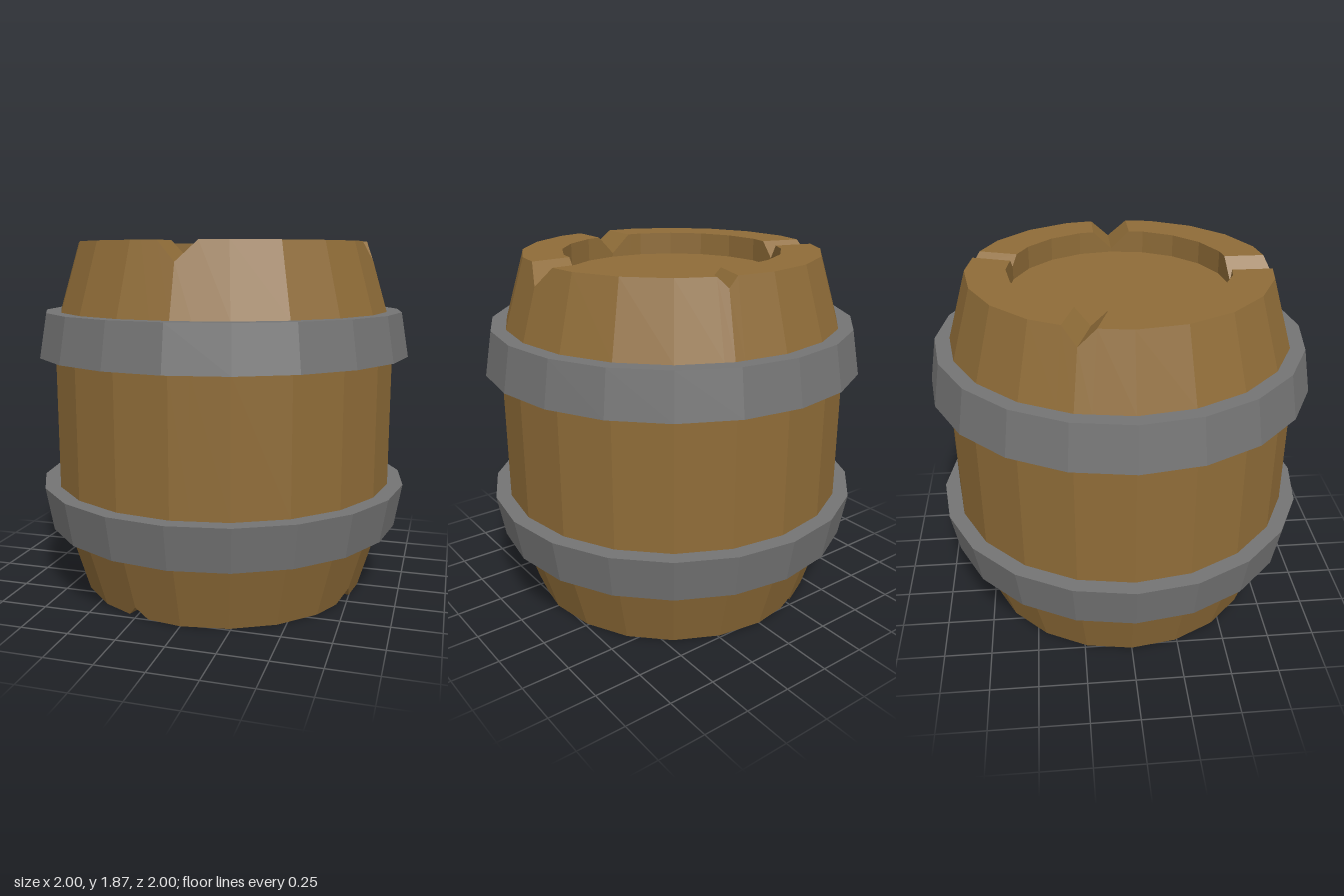
import * as THREE from 'three';

const SIDES = 20, STEP = (Math.PI * 2) / SIDES;
const HEIGHT = 1.87, RECESS = 0.12;
const R_INNER = 0.57, R_RIM = 0.775, R_SHOULDER = 0.883, R_BELLY = 0.918;
const BAND_LOW = 0.36, BAND_HIGH = 0.59;
const SLOPE = (R_SHOULDER - R_RIM) / BAND_LOW;

// V-shaped chips in the rims: corner number -> half-width and depth
const TOP_CHIPS = { 0: 0.1, 5: 0.1, 11: 0.08, 16: 0.05 };
const BOTTOM_CHIPS = { 1: 0.075, 6: 0.06, 14: 0.05 };

// Columns run around the barrel: every corner, plus both edges of each chip
function makeColumns() {
  const columns = [];
  for (let k = 0; k < SIDES; k++) {
    const top = TOP_CHIPS[k] || 0, bottom = BOTTOM_CHIPS[k] || 0;
    const w = top || bottom;
    if (w) columns.push({ k, w: -w, top: 0, bottom: 0 });
    columns.push({ k, w: 0, top, bottom });
    if (w) columns.push({ k, w, top: 0, bottom: 0 });
  }
  return columns;
}

// Point on the polygon of corner radius r, shifted sideways along its edge
function pointAt({ k, w }, r, y) {
  if (r === 0) return [0, y, 0];
  const c = Math.cos(k * STEP), s = Math.sin(k * STEP);
  const d = r - Math.abs(w) * Math.tan(STEP / 2);
  return [c * d - s * w, y, s * d + c * w];
}

// Profile from the centre of the lid, over the rim, down to the centre of the base
function columnPoints(col) {
  return [
    [0, HEIGHT - RECESS],
    [R_INNER, HEIGHT - RECESS],
    [R_INNER, HEIGHT - col.top],
    [R_RIM + col.top * SLOPE, HEIGHT - col.top],
    [R_SHOULDER, HEIGHT - BAND_LOW],
    [R_BELLY, HEIGHT - BAND_HIGH],
    [R_BELLY, BAND_HIGH],
    [R_SHOULDER, BAND_LOW],
    [R_RIM + col.bottom * SLOPE, col.bottom],
    [R_INNER, col.bottom],
    [R_INNER, RECESS],
    [0, RECESS],
  ].map(([r, y]) => pointAt(col, r, y));
}

function barrelGeometry() {
  const rows = makeColumns().map(columnPoints);
  const positions = [];
  rows.forEach((row, i) => {
    const next = rows[(i + 1) % rows.length];
    const last = row.length - 2;
    for (let j = 0; j <= last; j++) {
      if (j > 0) positions.push(...row[j], ...next[j], ...row[j + 1]);
      if (j < last) positions.push(...next[j], ...next[j + 1], ...row[j + 1]);
    }
  });
  const geometry = new THREE.BufferGeometry();
  geometry.setAttribute('position', new THREE.Float32BufferAttribute(positions, 3));
  geometry.computeVertexNormals();
  return geometry;
}

// Faceted hoop, wider towards the middle of the barrel
function hoopGeometry(y0, r0, y1, r1) {
  const profile = [[0.86, y0], [r0, y0], [r0, y0], [r1, y1], [r1, y1], [0.86, y1]]
    .filter((p, i) => i !== 2 && i !== 4)
    .map(([x, y]) => new THREE.Vector2(x, y));
  const geometry = new THREE.LatheGeometry(profile, SIDES).toNonIndexed();
  geometry.computeVertexNormals();
  return geometry;
}

export function createModel() {
  const wood = new THREE.MeshStandardMaterial({ color: 0x8f6c38 });
  wood.name = 'wood';
  const iron = new THREE.MeshStandardMaterial({ color: 0x747474 });
  iron.name = 'iron';

  const model = new THREE.Group();
  model.name = 'barrel';
  const add = (name, geometry, material) => {
    const mesh = new THREE.Mesh(geometry, material);
    mesh.name = name;
    model.add(mesh);
  };

  add('barrelBody', barrelGeometry(), wood);
  add('lowerHoop', hoopGeometry(BAND_LOW, 0.96, BAND_HIGH, 1), iron);
  add('upperHoop', hoopGeometry(HEIGHT - BAND_HIGH, 1, HEIGHT - BAND_LOW, 0.96), iron);
  return model;
}
